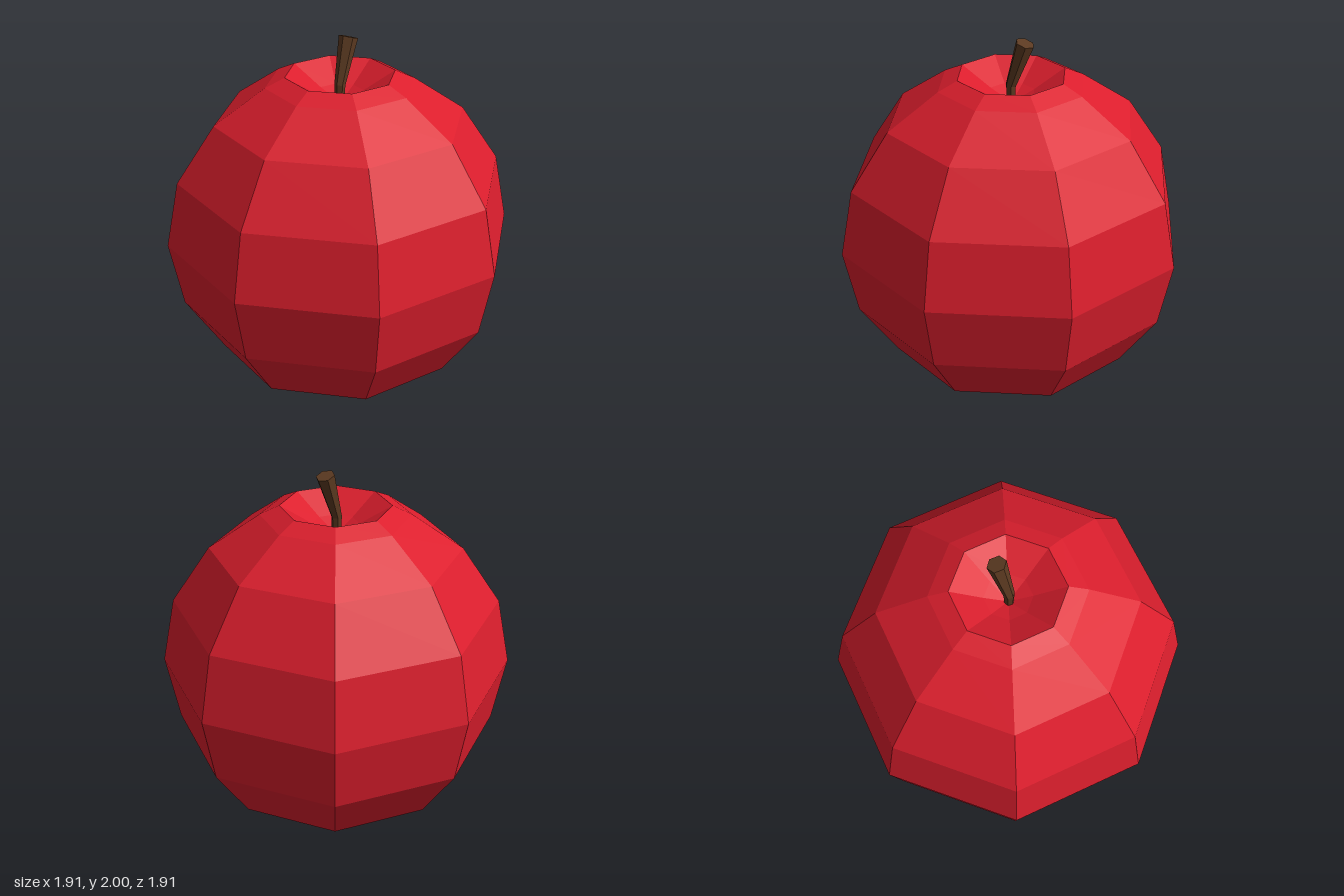
import * as THREE from 'three';

const v2 = (p) => new THREE.Vector2(p[0], p[1]);

// Tapered faceted stalk through rings of [y, z, radius], capped at both ends
function stalkGeometry(rings, sides) {
  const pos = [], idx = [];
  rings.forEach(([y, z, r], i) => {
    const a = rings[Math.max(i - 1, 0)], b = rings[Math.min(i + 1, rings.length - 1)];
    const tilt = Math.atan2(b[1] - a[1], b[0] - a[0]);
    for (let k = 0; k < sides; k++) {
      const t = (k / sides) * Math.PI * 2, c = r * Math.cos(t);
      pos.push(r * Math.sin(t), y - c * Math.sin(tilt), z + c * Math.cos(tilt));
    }
  });
  for (let i = 0; i < rings.length - 1; i++) {
    for (let k = 0; k < sides; k++) {
      const a = i * sides + k, b = i * sides + (k + 1) % sides;
      idx.push(a, b, b + sides, a, b + sides, a + sides);
    }
  }
  const top = (rings.length - 1) * sides;
  for (let k = 1; k < sides - 1; k++) {
    idx.push(top, top + k, top + k + 1, 0, k + 1, k);
  }
  const g = new THREE.BufferGeometry();
  g.setAttribute('position', new THREE.Float32BufferAttribute(pos, 3));
  g.setIndex(idx);
  g.computeVertexNormals();
  return g;
}

export function createModel() {
  const group = new THREE.Group();
  group.name = 'apple';

  // Eight-sided fruit body with a dimple below and a deeper one on top
  const profile = [
    [0, 0.13], [0.12, 0.085], [0.27, 0], [0.675, 0.21], [0.883, 0.52], [0.955, 0.885],
    [0.883, 1.25], [0.675, 1.56], [0.4, 1.75], [0.295, 1.8], [0.125, 1.7], [0, 1.64],
  ].map(v2);
  const body = new THREE.Mesh(
    new THREE.LatheGeometry(profile, 8),
    new THREE.MeshStandardMaterial({ color: 0xdc1e2d, flatShading: true })
  );
  body.name = 'fruitBody';
  group.add(body);

  // Stem leaning backwards out of the top dimple
  const stem = new THREE.Mesh(
    stalkGeometry([[1.63, 0.005, 0.025], [1.74, 0.005, 0.029], [1.982, -0.076, 0.051]], 6),
    new THREE.MeshStandardMaterial({ color: 0x5c3a21, flatShading: true })
  );
  stem.name = 'stem';
  group.add(stem);

  return group;
}
